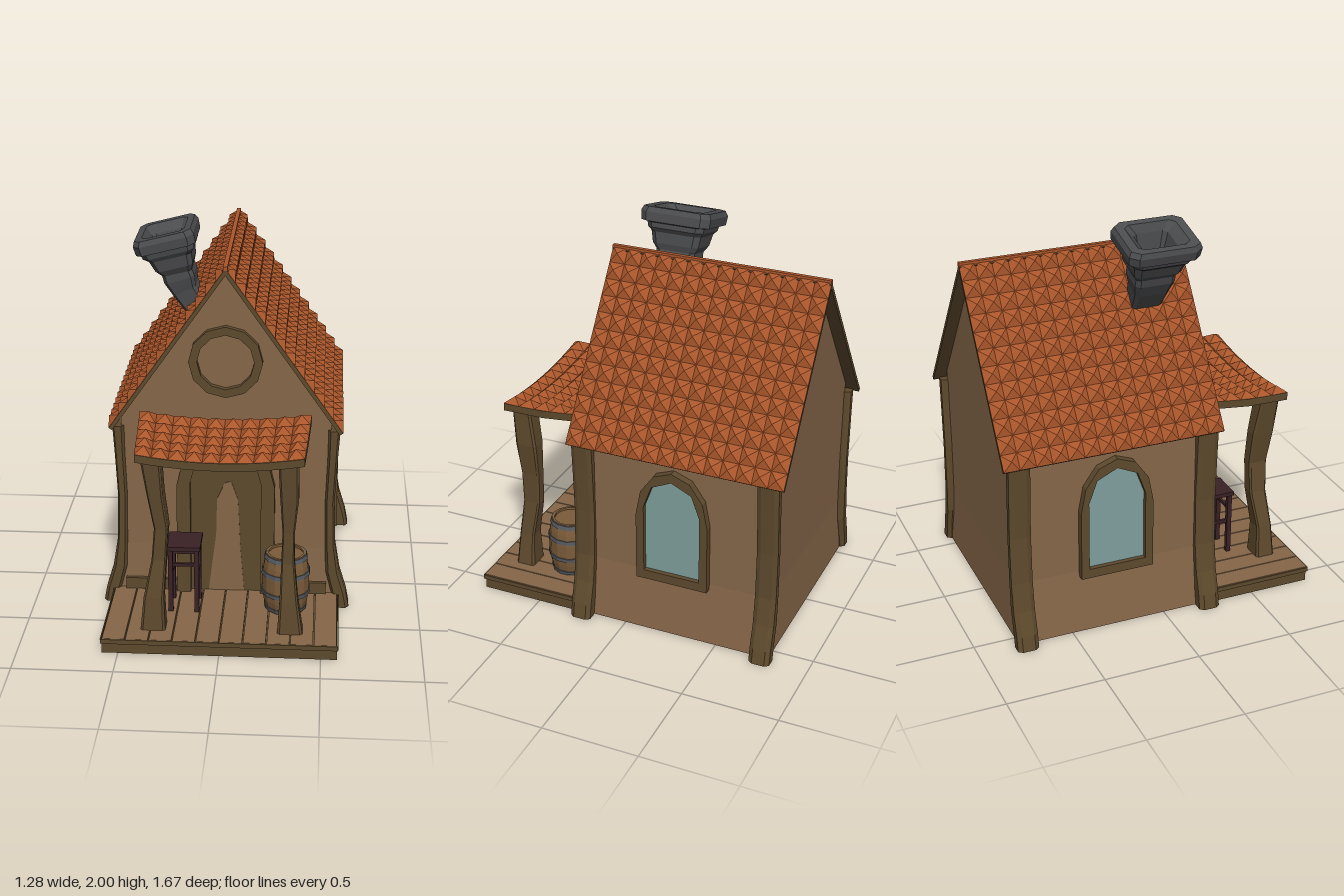
import * as THREE from 'three';

const mat = (name, color) => {
  const m = new THREE.MeshStandardMaterial({ color });
  m.name = name;
  return m;
};
const V = (x, y, z) => new THREE.Vector3(x, y, z);

// Flat-shaded geometry from a list of triangle corners
function fromPoints(pts) {
  const g = new THREE.BufferGeometry().setFromPoints(pts);
  g.computeVertexNormals();
  return g;
}

// Skin over closed rings (counter-clockwise seen from the far end)
function loft(rings, capStart = true, capEnd = true) {
  const p = [], n = rings[0].length;
  for (let i = 0; i + 1 < rings.length; i++)
    for (let j = 0; j < n; j++) {
      const a = rings[i][j], b = rings[i][(j + 1) % n], c = rings[i + 1][(j + 1) % n], d = rings[i + 1][j];
      p.push(a, b, c, a, c, d);
    }
  for (let j = 1; j + 1 < n; j++) {
    const s = rings[0], e = rings[rings.length - 1];
    if (capStart) p.push(s[0], s[j + 1], s[j]);
    if (capEnd) p.push(e[0], e[j], e[j + 1]);
  }
  return fromPoints(p);
}

// Chamfered rectangle ring, optionally tilted sideways
function section(cx, cy, cz, hw, hd, k = 1, tilt = 0) {
  const base = k === 1 ? [[1, 1], [-1, 1], [-1, -1], [1, -1]]
    : [[1, k], [k, 1], [-k, 1], [-1, k], [-1, -k], [-k, -1], [k, -1], [1, -k]];
  return base.map(([p, q]) => V(cx + p * hw * Math.cos(tilt), cy + p * hw * Math.sin(tilt), cz - q * hd));
}

// Grid of little pyramids over a surface f(u, v)
function pyramidTiles(f, nu, nv, h) {
  const p = [];
  for (let i = 0; i < nu; i++)
    for (let j = 0; j < nv; j++) {
      const c = [[0, 0], [1, 0], [1, 1], [0, 1]].map(([a, b]) => f((i + a) / nu, (j + b) / nv));
      const normal = c[2].clone().sub(c[0]).cross(c[3].clone().sub(c[1])).normalize();
      const top = c[0].clone().add(c[1]).add(c[2]).add(c[3]).multiplyScalar(0.25).addScaledVector(normal, h);
      for (let k = 0; k < 4; k++) p.push(c[k], c[(k + 1) % 4], top);
    }
  return fromPoints(p);
}

function archPoints(hw, y0, spring, top, n) {
  const pts = [new THREE.Vector2(-hw, y0), new THREE.Vector2(hw, y0)];
  for (let i = 0; i <= n; i++) {
    const a = (i / n) * Math.PI;
    pts.push(new THREE.Vector2(hw * Math.cos(a), spring + (top - spring) * Math.sin(a)));
  }
  return pts;
}

function extrude(points, depth, z, hole) {
  const s = new THREE.Shape(points);
  if (hole) s.holes.push(new THREE.Path(hole));
  return new THREE.ExtrudeGeometry(s, { depth, bevelEnabled: false }).translate(0, 0, z);
}

export function createModel() {
  const root = new THREE.Group();
  const plaster = mat('plaster', 0x866749);
  plaster.side = THREE.DoubleSide;
  const timber = mat('timber', 0x5e4a2d);
  const tile = mat('roofTile', 0xac572b);
  const stone = mat('chimneyStone', 0x4b4c4e);
  const glass = mat('glass', 0x7f9f9d);
  const darkWood = mat('darkWood', 0x3a2226);
  const barrelWood = mat('barrelWood', 0x7b5c3a);
  const iron = mat('iron', 0x565b60);

  const add = (name, geo, m, parent = root) => {
    const mesh = new THREE.Mesh(geo, m);
    mesh.name = name;
    parent.add(mesh);
    return mesh;
  };
  const box = (name, m, w, h, d, x, y, z, parent) =>
    add(name, new THREE.BoxGeometry(w, h, d).translate(x, y, z), m, parent);
  const group = (name, parent = root) => {
    const g = new THREE.Group();
    g.name = name;
    parent.add(g);
    return g;
  };

  // Walls: open-bottomed shell with a flared foot, plus two gables
  add('walls', loft([[0, 0.57, 0.53], [0.33, 0.53, 0.52], [1.035, 0.53, 0.52]]
    .map(([y, hw, hd]) => section(0, y, -0.255, hw, hd)), false, false), plaster);
  for (const [z, s] of [[0.265, 1], [-0.775, -1]])
    add('gable', fromPoints([V(-0.53 * s, 1.035, z), V(0.53 * s, 1.035, z), V(0, 1.79, z)]), plaster);

  // Corner posts with flared feet
  const cornerPath = [[0, 0.6, 0.04], [0.08, 0.585, 0.04], [0.2, 0.552, 0.036], [0.35, 0.537, 0.026],
    [0.6, 0.53, 0.024], [0.85, 0.54, 0.026], [0.99, 0.545, 0.03]];
  for (const s of [1, -1])
    for (const z of [0.235, -0.755])
      add('cornerPost', loft(cornerPath.map(([y, x, hw]) => section(s * x, y, z, hw, 0.055, 0.6))), timber);

  // Main roof: one tiled slope, repeated with a half turn
  for (const turn of [0, Math.PI]) {
    const half = group('roofSlope');
    half.position.z = -0.265;
    half.rotation.y = turn;
    add('roofTiles', pyramidTiles((u, v) => V(0.588 * (1 - v), 0.99 + 0.84 * v, 0.575 - 1.15 * u), 14, 12, 0.03), tile, half);
    const board = box('roofBoard', timber, 1.025, 0.02, 1.148, 0, 0, 0, half);
    board.rotation.z = -Math.atan2(0.84, 0.588);
    board.position.set(0.294 - 0.009, 1.41 - 0.0063, 0);
  }
  box('ridge', tile, 0.022, 0.02, 1.15, 0, 1.828, -0.265);

  // Round gable window
  const circle = r => Array.from({ length: 12 }, (_, i) =>
    new THREE.Vector2(r * Math.cos(i * Math.PI / 6), r * Math.sin(i * Math.PI / 6)));
  add('gableRing', extrude(circle(0.185), 0.035, 0, circle(0.142)), timber).position.set(0, 1.345, 0.262);

  // Arched side windows
  for (const s of [1, -1]) {
    const w = group('sideWindow');
    w.position.z = -0.255;
    w.rotation.y = s * Math.PI / 2;
    const inner = archPoints(0.15, 0.35, 0.72, 0.89, 4);
    add('windowFrame', extrude(archPoints(0.192, 0.3, 0.67, 0.94, 6), 0.06, 0.51, inner), timber, w);
    add('windowPane', extrude(inner, 0.03, 0.515), glass, w);
  }

  // Door with a worn pale patch
  const doorway = archPoints(0.18, 0.07, 0.7, 0.88, 6);
  add('doorFrame', extrude(archPoints(0.25, 0.07, 0.68, 0.95, 6), 0.05, 0.26, doorway), timber);
  add('door', extrude(doorway, 0.015, 0.26), timber);
  const worn = [[-0.09, 0.08], [0.095, 0.08], [0.075, 0.33], [0.062, 0.6], [0.027, 0.7], [-0.005, 0.69], [-0.045, 0.6], [-0.05, 0.4]];
  add('wornPatch', extrude(worn.map(p => new THREE.Vector2(...p)), 0.004, 0.275), plaster);
  for (const s of [1, -1]) box('baseboard', timber, 0.27, 0.07, 0.025, s * 0.385, 0.105, 0.277);

  // Porch deck
  const deck = group('deck');
  box('deckBed', timber, 1.15, 0.02, 0.54, 0, 0.052, 0.55, deck);
  box('frontBeam', timber, 1.16, 0.055, 0.03, 0, 0.0275, 0.805, deck);
  box('frontEdge', timber, 1.17, 0.024, 0.008, 0, 0.066, 0.826, deck);
  box('backBeam', timber, 1.1, 0.055, 0.03, 0, 0.0275, 0.285, deck);
  for (const s of [1, -1]) {
    box('sideBeam', timber, 0.03, 0.055, 0.53, s * 0.565, 0.0275, 0.55, deck);
    box('sideEdge', timber, 0.006, 0.023, 0.55, s * 0.584, 0.066, 0.547, deck);
  }
  for (let i = 0; i < 10; i++)
    box('plank', plaster, 0.11, 0.022, 0.552, -0.5225 + i * 0.1161, 0.068, 0.546, deck);

  // Crooked porch posts: y, x, half width, z, half depth
  const leftish = [[0.075, -0.335, 0.062, 0.675, 0.052], [0.25, -0.33, 0.05, 0.672, 0.042], [0.45, -0.303, 0.036, 0.645, 0.046],
    [0.62, -0.29, 0.034, 0.645, 0.05], [0.8, -0.315, 0.038, 0.655, 0.058], [1.01, -0.335, 0.05, 0.675, 0.05]];
  const rightish = [[0.075, 0.345, 0.063, 0.675, 0.052], [0.25, 0.337, 0.045, 0.672, 0.042], [0.45, 0.33, 0.032, 0.645, 0.046],
    [0.62, 0.332, 0.03, 0.645, 0.05], [0.8, 0.335, 0.045, 0.655, 0.058], [1.01, 0.328, 0.05, 0.675, 0.05]];
  for (const path of [leftish, rightish])
    add('porchPost', loft(path.map(([y, x, hw, z, hd]) => section(x, y, z, hw, hd, 0.8))), timber);

  // Sagging porch roof
  const porch = (u, v) => {
    const s = 2 * u - 1;
    return V(s * (0.405 + 0.025 * v), 1.005 + 0.035 * s * s + 0.04 * v - 0.04 * v * (1 - v), 0.755 - 0.455 * v);
  };
  add('porchTiles', pyramidTiles(porch, 10, 5, 0.035), tile);
  const slab = [];
  for (let i = 0; i <= 10; i++) {
    const top = [0, 0.5, 1].map(v => porch(i / 10, v).add(V(0, -0.002, 0)));
    slab.push([...top, ...top.map(p => p.clone().add(V(0, -0.04, 0))).reverse()].reverse());
  }
  const slabMesh = add('porchRoofBoard', loft(slab), timber);
  slabMesh.material = timber.clone();
  slabMesh.material.side = THREE.DoubleSide;

  // Leaning chimney with a hollow cap: x, y, half width, half depth
  const stack = [[-0.09, 1.48, 0.05, 0.07, 0.7], [-0.165, 1.58, 0.055, 0.08, 0.7], [-0.215, 1.66, 0.062, 0.09, 0.45],
    [-0.238, 1.72, 0.078, 0.105, 0.3], [-0.25, 1.755, 0.076, 0.105, 0.25], [-0.262, 1.785, 0.095, 0.125, 0.25],
    [-0.28, 1.84, 0.108, 0.135, 0.25], [-0.287, 1.86, 0.13, 0.15, 0.25], [-0.294, 1.885, 0.134, 0.155, 0.25],
    [-0.297, 1.89, 0.15, 0.185, 0.25], [-0.309, 1.935, 0.153, 0.19, 0.25], [-0.315, 1.96, 0.142, 0.178, 0.25],
    [-0.315, 1.96, 0.108, 0.135, 0.25], [-0.305, 1.92, 0.085, 0.09, 0.25], [-0.285, 1.84, 0.06, 0.07, 0.25]];
  add('chimney', loft(stack.map(([x, y, hw, hd, t]) => section(x, y, 0.055, hw, hd, 0.78, t))), stone);

  // Barrel with hoops
  const barrel = group('barrel');
  barrel.position.set(0.315, 0.08, 0.435);
  const radius = y => 0.1 + 0.022 * (1 - ((y - 0.155) / 0.155) ** 2);
  const lathe = pts => {
    const g = new THREE.LatheGeometry(pts.map(p => new THREE.Vector2(...p)), 14).toNonIndexed();
    g.computeVertexNormals();
    return g;
  };
  const ys = [0, 0.06, 0.12, 0.19, 0.25, 0.31];
  add('barrelBody', lathe([[0, 0], ...ys.map(y => [radius(y), y]), [0.088, 0.31], [0.088, 0.298], [0, 0.298]]), barrelWood, barrel);
  for (const y of [0.004, 0.092, 0.2, 0.285])
    add('hoop', lathe([[radius(y), y], [radius(y) + 0.005, y], [radius(y + 0.022) + 0.005, y + 0.022], [radius(y + 0.022), y + 0.022]]), iron, barrel);

  // Tall stool
  const stool = group('stool');
  stool.position.set(-0.198, 0.078, 0.442);
  box('seat', darkWood, 0.17, 0.022, 0.18, 0, 0.355, 0, stool);
  for (const s of [1, -1]) {
    for (const t of [1, -1]) box('leg', darkWood, 0.024, 0.345, 0.024, s * 0.066, 0.1725, t * 0.07, stool);
    box('sideRung', darkWood, 0.014, 0.018, 0.14, s * 0.066, 0.19, 0, stool);
    box('crossRung', darkWood, 0.132, 0.016, 0.014, 0, 0.262, s * 0.07, stool);
  }

  return root;
}
